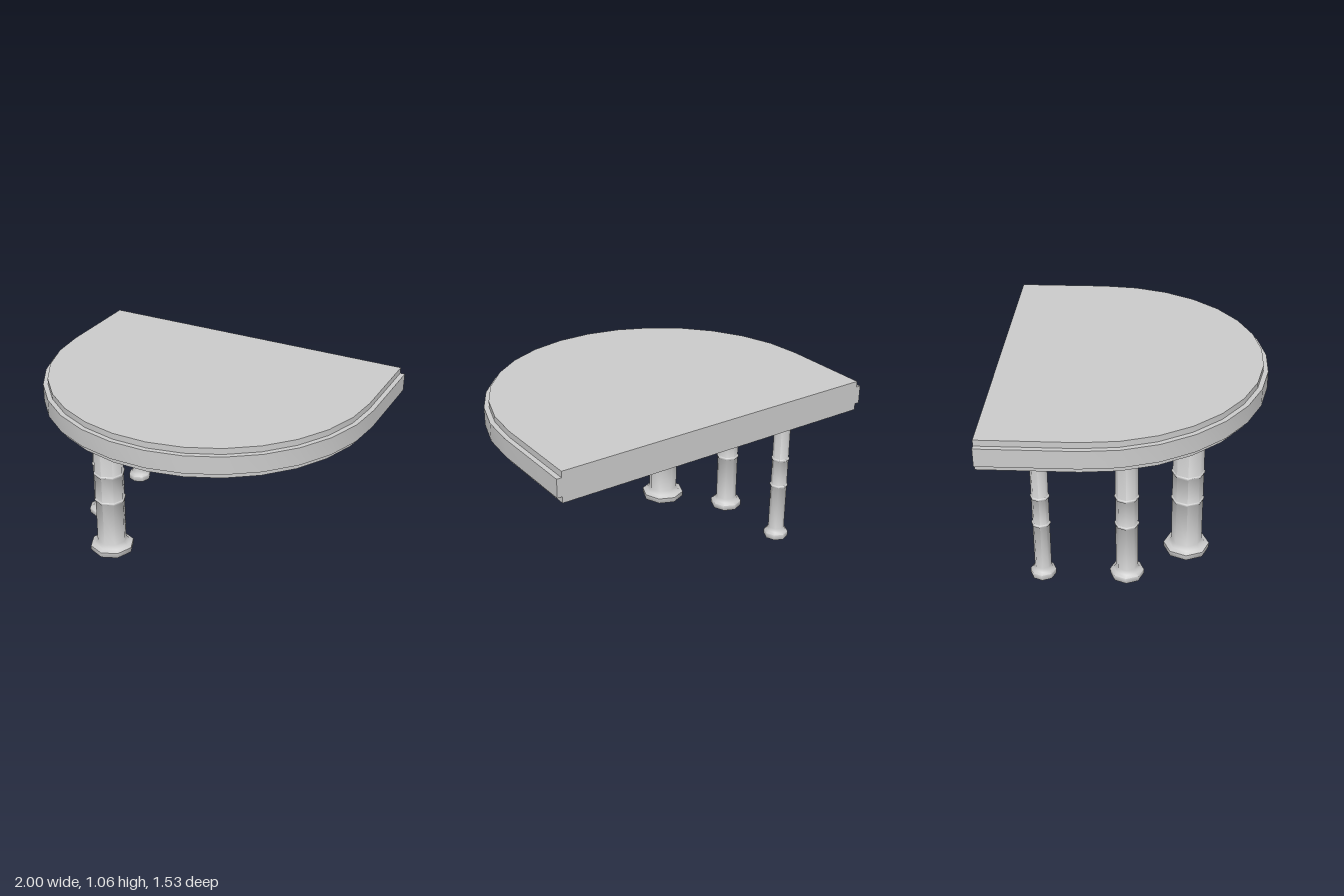
import * as THREE from 'three';
import { toCreasedNormals } from 'three/addons/utils/BufferGeometryUtils.js';

const material = new THREE.MeshStandardMaterial({ color: 0xcccccc });
const BACK = -0.763, CENTRE = -0.231;

function addMesh(parent, name, geometry, crease) {
  const mesh = new THREE.Mesh(toCreasedNormals(geometry, crease), material);
  mesh.name = name;
  parent.add(mesh);
  return mesh;
}

// D-shaped slab: straight back, half-round front in 12 degree facets
function slab(radius, y0, y1) {
  const shape = new THREE.Shape();
  shape.moveTo(-radius, -BACK);
  shape.lineTo(-radius, -CENTRE);
  for (let i = 1; i <= 15; i++) {
    const a = Math.PI + (i * Math.PI) / 15;
    shape.lineTo(radius * Math.cos(a), -CENTRE + radius * Math.sin(a));
  }
  shape.lineTo(radius, -BACK);
  shape.closePath();
  const geometry = new THREE.ExtrudeGeometry(shape, { depth: y1 - y0, bevelEnabled: false });
  return geometry.rotateX(-Math.PI / 2).translate(0, y0, 0);
}

// Eight-sided column: foot, shaft with two thin rings, flared head
function column(shaft, foot) {
  const ring = shaft + 0.006;
  const profile = [
    [0, 0], [foot * 0.97, 0], [foot, 0.006], [foot, 0.034],
    [shaft + (foot - shaft) * 0.4, 0.046], [shaft, 0.066],
  ];
  for (const y of [0.355, 0.533]) {
    profile.push([shaft, y - 0.009], [ring, y - 0.005], [ring, y + 0.005], [shaft, y + 0.009]);
  }
  profile.push([shaft, 0.864], [shaft + (foot - shaft) * 0.5, 0.871], [foot, 0.877], [foot, 0.882]);
  return new THREE.LatheGeometry(profile.map(([r, y]) => new THREE.Vector2(r, y)), 8);
}

export function createModel() {
  const model = new THREE.Group();
  model.name = 'halfRoundTable';

  // Tabletop: wide middle band between two inset layers
  const top = new THREE.Group();
  top.name = 'tabletop';
  model.add(top);
  addMesh(top, 'lowerLayer', slab(0.972, 0.881, 0.917), 0.5);
  addMesh(top, 'edgeBand', slab(1, 0.917, 1.022), 0.5);
  addMesh(top, 'upperLayer', slab(0.972, 1.022, 1.057), 0.5);

  // Legs stand on the right side only, thinner towards the back
  const legs = [
    ['frontLeg', -0.4, 0.327, 0.089, 0.133],
    ['middleLeg', -0.665, -0.008, 0.063, 0.096],
    ['backLeg', -0.682, -0.483, 0.048, 0.073],
  ];
  for (const [name, x, z, shaft, foot] of legs) {
    addMesh(model, name, column(shaft, foot), 1.0).position.set(x, 0, z);
  }
  return model;
}
